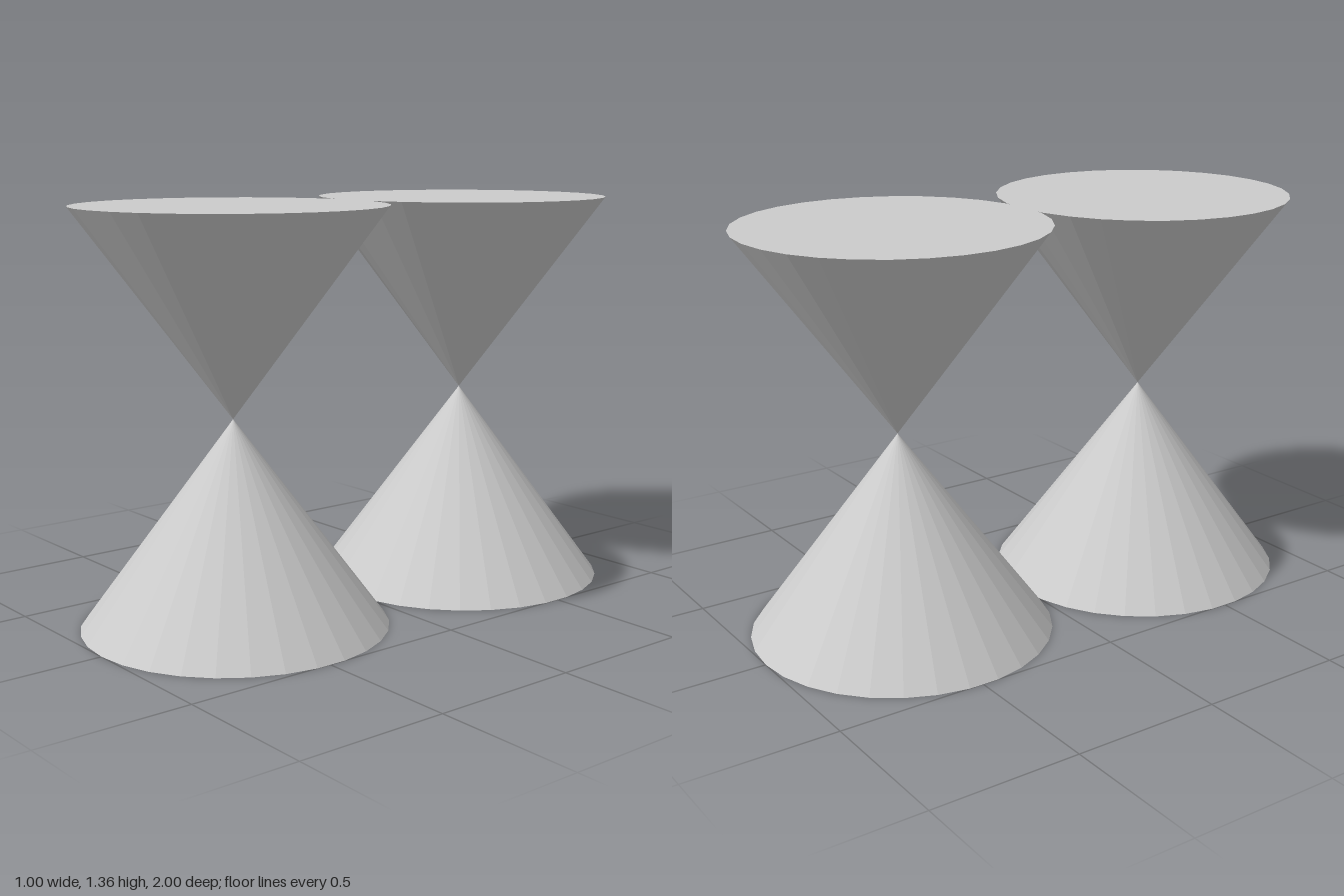
import * as THREE from 'three';

const RADIUS = 0.504;
const CONE_HEIGHT = 0.6815;
const SIDES = 30;

export function createModel() {
  const model = new THREE.Group();
  model.name = 'doubleHourglass';
  const material = new THREE.MeshStandardMaterial({ color: 0xcccccc, flatShading: true });
  const cone = new THREE.ConeGeometry(RADIUS, CONE_HEIGHT, SIDES);

  // One hourglass: two cones meeting tip to tip
  function makeHourglass(name, z) {
    const hourglass = new THREE.Group();
    hourglass.name = name;
    const lower = new THREE.Mesh(cone, material);
    lower.name = 'lowerCone';
    lower.position.y = CONE_HEIGHT / 2;
    const upper = new THREE.Mesh(cone, material);
    upper.name = 'upperCone';
    upper.position.y = CONE_HEIGHT * 1.5;
    upper.rotation.x = Math.PI;
    hourglass.add(lower, upper);
    hourglass.position.z = z;
    return hourglass;
  }

  // Front and back pair, slightly overlapping at the rims
  const offset = 1 - RADIUS;
  model.add(makeHourglass('frontHourglass', offset), makeHourglass('backHourglass', -offset));
  return model;
}
